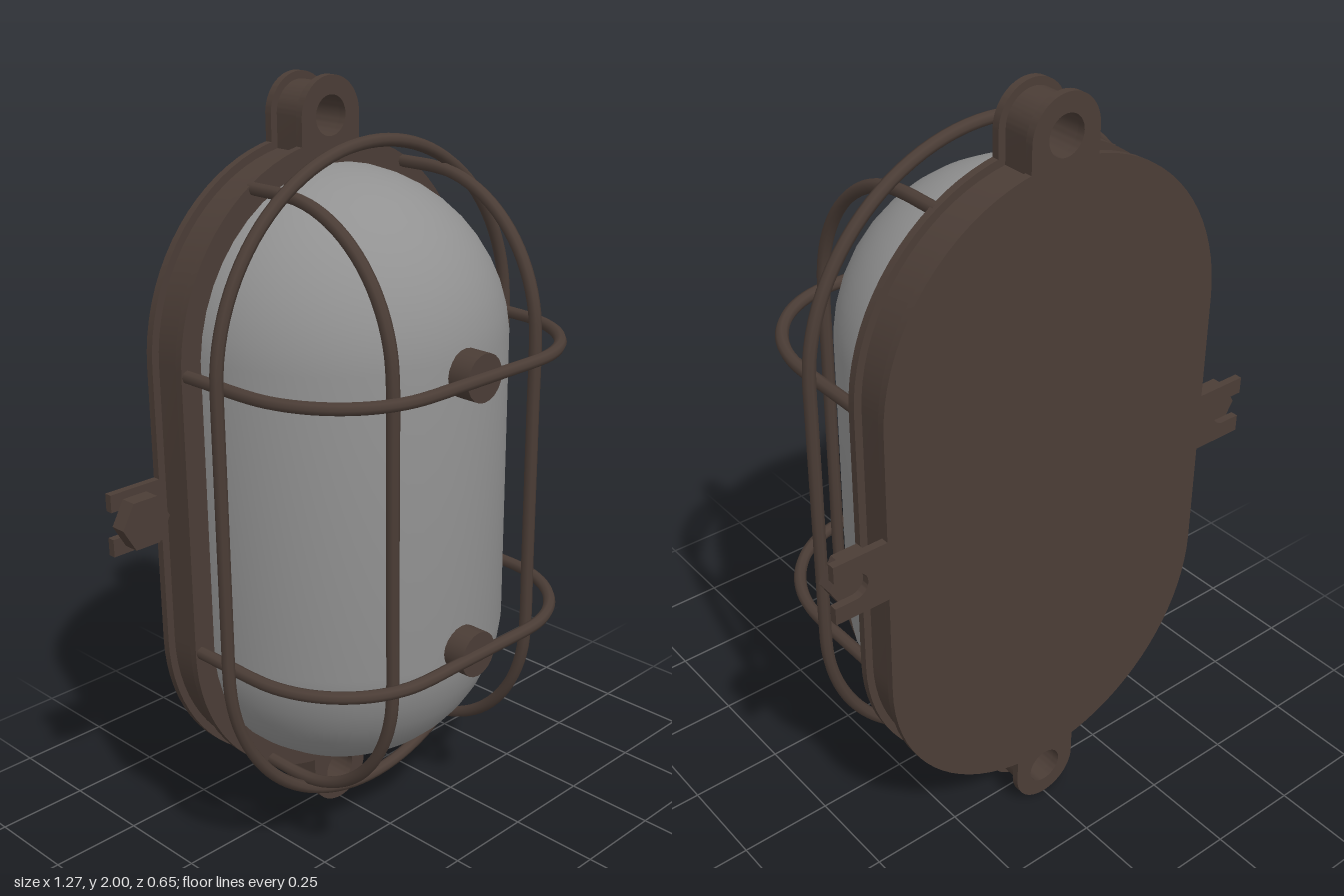
import * as THREE from 'three';
import { toCreasedNormals } from 'three/addons/utils/BufferGeometryUtils.js';

const HALF = 0.36; // half length of the straight sides
const BACK = -0.325, FRONT = -0.197, LIP = 0.02;

export function createModel() {
  const bronze = new THREE.MeshStandardMaterial({ color: 0x4b3d36 });
  bronze.name = 'dark bronze';
  const glass = new THREE.MeshStandardMaterial({ color: 0x929292 });
  glass.name = 'grey glass';

  const root = new THREE.Group();
  root.name = 'bulkheadLamp';
  const lamp = new THREE.Group();
  lamp.name = 'lamp';
  lamp.position.y = 1;
  root.add(lamp);

  const add = (name, geo, mat = bronze, parent = lamp) => {
    const mesh = new THREE.Mesh(geo, mat);
    mesh.name = name;
    parent.add(mesh);
    return mesh;
  };

  const stadium = (r) => {
    const s = new THREE.Shape();
    s.absarc(0, HALF, r, 0, Math.PI, false);
    s.absarc(0, -HALF, r, Math.PI, 2 * Math.PI, false);
    s.closePath();
    return s;
  };
  const slab = (shape, z0, z1) => {
    const geo = new THREE.ExtrudeGeometry(shape, { depth: z1 - z0, bevelEnabled: false, curveSegments: 20 });
    return toCreasedNormals(geo.translate(0, 0, z0), 0.6);
  };

  // Housing with a thin lip at the back and front
  add('housing', slab(stadium(0.47), BACK + LIP, FRONT - LIP));
  add('backLip', slab(stadium(0.49), BACK, BACK + LIP));
  add('frontLip', slab(stadium(0.49), FRONT - LIP, FRONT));

  // Glass dome: half a sphere pulled apart at its equator
  const dome = new THREE.SphereGeometry(0.432, 32, 23, 0, Math.PI);
  dome.scale(1, 1, 1.035);
  const pos = dome.attributes.position;
  for (let i = 0; i < pos.count; i++) pos.setY(i, pos.getY(i) + Math.sign(pos.getY(i)) * HALF);
  dome.translate(0, 0, FRONT);
  add('glassDome', dome, glass);

  // Pierced lugs at the top and bottom
  const lugShape = (r) => {
    const s = new THREE.Shape();
    s.moveTo(-r, 0.8);
    s.lineTo(r, 0.8);
    s.absarc(0, 0.905, r, 0, Math.PI, false);
    s.closePath();
    const hole = new THREE.Path();
    hole.absarc(0, 0.905, 0.049, 0, 2 * Math.PI, true);
    s.holes.push(hole);
    return s;
  };
  for (const top of [true, false]) {
    const lug = new THREE.Group();
    lug.name = top ? 'topLug' : 'bottomLug';
    lug.rotation.z = top ? 0 : Math.PI;
    add('lugBack', slab(lugShape(0.095), BACK, BACK + LIP), bronze, lug);
    add('lugCore', slab(lugShape(0.076), BACK + LIP, FRONT - LIP), bronze, lug);
    add('lugFront', slab(lugShape(0.095), FRONT - LIP, FRONT), bronze, lug);
    lamp.add(lug);
  }

  // Slotted side tabs with hexagonal bolts
  const tab = new THREE.Shape();
  tab.moveTo(0.45, -0.08);
  tab.lineTo(0.635, -0.08);
  tab.lineTo(0.635, -0.035);
  tab.lineTo(0.58, -0.035);
  tab.absarc(0.58, 0, 0.035, -Math.PI / 2, Math.PI / 2, true);
  tab.lineTo(0.635, 0.035);
  tab.lineTo(0.635, 0.08);
  tab.lineTo(0.45, 0.08);
  tab.closePath();
  for (const left of [true, false]) {
    const side = new THREE.Group();
    side.name = left ? 'leftTab' : 'rightTab';
    side.rotation.z = left ? 0 : Math.PI;
    add('slottedTab', slab(tab, BACK, BACK + LIP), bronze, side);
    const bolt = new THREE.CylinderGeometry(0.07, 0.07, 0.042, 6, 1, false, Math.PI / 2);
    bolt.rotateX(Math.PI / 2);
    add('hexBolt', toCreasedNormals(bolt, 0.6), bronze, side).position.set(0.565, 0, BACK + LIP + 0.021);
    lamp.add(side);
  }

  // Guard ring around the dome
  const ringPoints = stadium(0.5).getSpacedPoints(72).slice(0, -1)
    .map((p) => new THREE.Vector3(p.x, p.y, -0.06));
  add('guardRing', new THREE.TubeGeometry(new THREE.CatmullRomCurve3(ringPoints, true), 144, 0.016, 8, true));

  // Bars rise from the lip, bend over an elliptical corner and run flat
  const barCurve = (reach, flat, bendZ, frontZ, place) => {
    const half = [[reach, FRONT - 0.01], [reach, (FRONT + bendZ) / 2]];
    for (let i = 0; i <= 8; i++) {
      const a = (i / 8) * Math.PI / 2;
      half.push([flat + (reach - flat) * Math.cos(a), bendZ + (frontZ - bendZ) * Math.sin(a)]);
    }
    half.push([flat * 0.5, frontZ]);
    const mirrored = half.map(([u, z]) => [-u, z]).reverse();
    return new THREE.CatmullRomCurve3([...half, ...mirrored].map(([u, z]) => place(u, z)));
  };
  const bar = (name, curve) => add(name, new THREE.TubeGeometry(curve, 80, 0.016, 8));
  for (const s of [1, -1]) {
    bar(s > 0 ? 'leftUprightBar' : 'rightUprightBar',
      barCurve(0.765, 0.39, -0.1, 0.25, (u, z) => new THREE.Vector3(0.25 * s, u, z)));
    bar(s > 0 ? 'upperCrossBar' : 'lowerCrossBar',
      barCurve(0.472, 0.185, 0, 0.305, (u, z) => new THREE.Vector3(u, HALF * s, z)));

    // Stud joining the cross bar to the glass
    const stud = new THREE.CylinderGeometry(0.06, 0.06, 0.085, 20).rotateX(Math.PI / 2);
    add(s > 0 ? 'upperStud' : 'lowerStud', stud).position.set(0, HALF * s, 0.263);
  }

  return root;
}
